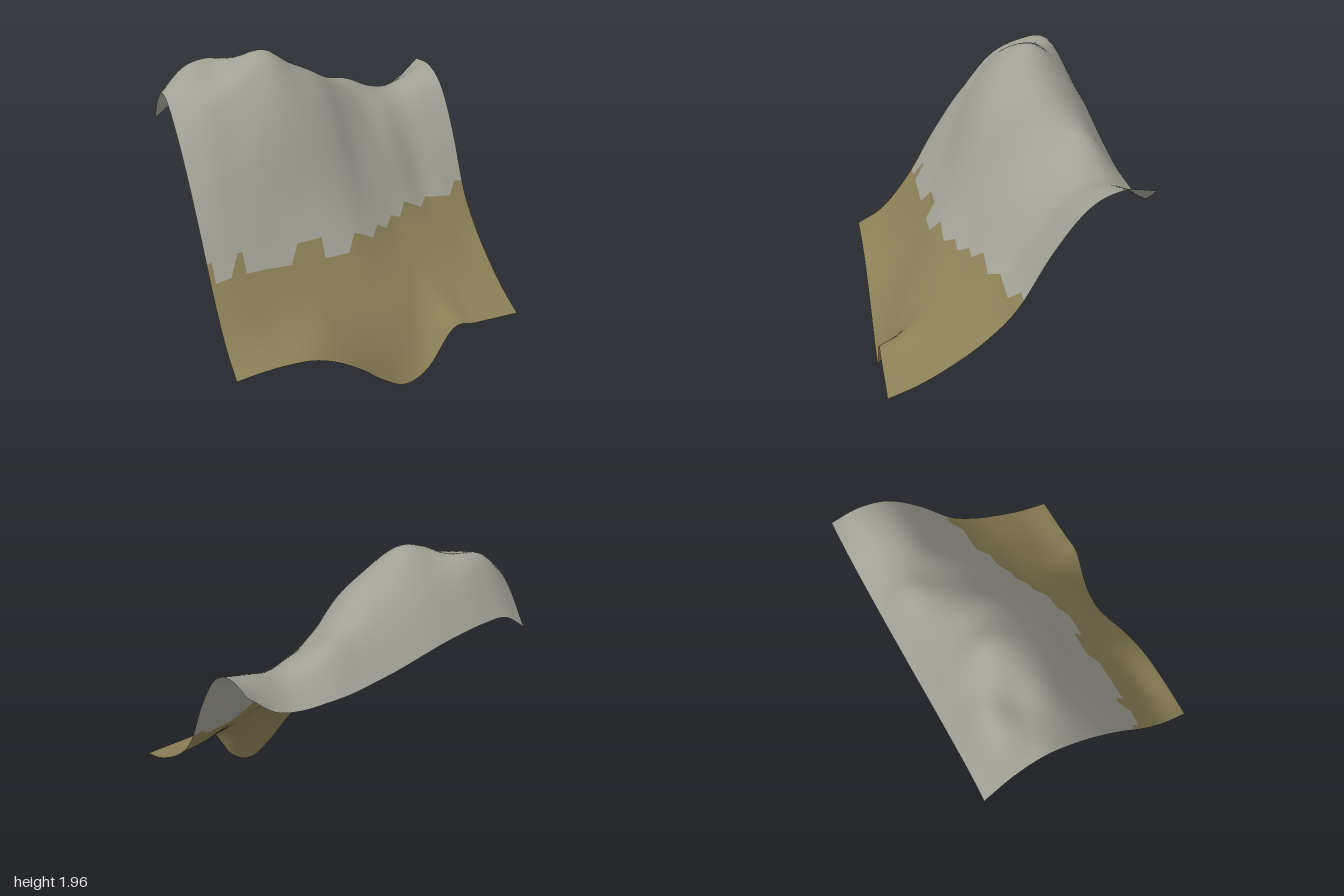
import * as THREE from 'three';

const WIDTH = 1.93, DEPTH = 1.544;
const COLS = 30, ROWS = 24; // terrain cells

// Heights on a coarse lattice: one line per depth, back to front, each from -x to +x
const HEIGHTS = [
  [1.45, 1.555, 1.56, 1.54, 1.51, 1.47, 1.43, 1.40, 1.375, 1.37, 1.375, 1.42, 1.555],
  [1.69, 1.85, 1.89, 1.84, 1.80, 1.73, 1.67, 1.62, 1.59, 1.51, 1.475, 1.52, 1.575],
  [1.765, 1.85, 1.87, 1.94, 1.97, 1.86, 1.77, 1.65, 1.54, 1.48, 1.44, 1.46, 1.48],
  [1.64, 1.75, 1.81, 1.87, 1.88, 1.80, 1.70, 1.53, 1.40, 1.32, 1.22, 1.21, 1.22],
  [1.42, 1.50, 1.53, 1.60, 1.62, 1.57, 1.46, 1.28, 1.17, 1.07, 0.95, 0.92, 0.875],
  [1.13, 1.17, 1.17, 1.15, 1.15, 1.15, 1.10, 0.98, 0.87, 0.81, 0.75, 0.70, 0.67],
  [0.80, 0.82, 0.82, 0.81, 0.80, 0.79, 0.78, 0.72, 0.66, 0.62, 0.585, 0.55, 0.53],
  [0.56, 0.56, 0.55, 0.56, 0.55, 0.50, 0.46, 0.44, 0.42, 0.47, 0.44, 0.43, 0.42],
  [0.44, 0.455, 0.455, 0.435, 0.365, 0.25, 0.105, 0.015, 0.10, 0.37, 0.365, 0.355, 0.345],
];

// First grassy row, counted from the middle row, for each column of terrain points
const GRASS_START = [5, 6, 6, 5, 6, 6, 6, 6, 6, 5, 5, 5, 6, 6, 6, 5,
  5, 5, 4, 4, 3, 3, 2, 2, 2, 1, 1, 1, 1, 0, 0];

// Smooth curve through evenly spaced values, t from 0 to 1
function spline(values, t) {
  const last = values.length - 1;
  const i = Math.min(Math.floor(t * last), last - 1);
  const f = t * last - i;
  const b = values[i], c = values[i + 1];
  const a = i > 0 ? values[i - 1] : 2 * b - c;
  const d = i + 2 <= last ? values[i + 2] : 2 * c - b;
  return b + 0.5 * f * (c - a + f * (2 * a - 5 * b + 4 * c - d + f * (3 * (b - c) + d - a)));
}

const heightAt = (u, v) => Math.max(0, spline(HEIGHTS.map((row) => spline(row, u)), v));

export function createModel() {
  const group = new THREE.Group();
  group.name = 'hillside';

  const rock = new THREE.MeshStandardMaterial({ color: 0xa0a095, side: THREE.DoubleSide });
  rock.name = 'grey rock';
  const grass = new THREE.MeshStandardMaterial({ color: 0x8a7f56, side: THREE.DoubleSide });
  grass.name = 'dry grass';

  // Terrain points, two per cell so cells can be cut at their edge midpoints
  const nx = COLS * 2, nz = ROWS * 2;
  const positions = [];
  for (let j = 0; j <= nz; j++) {
    for (let i = 0; i <= nx; i++) {
      const u = i / nx, v = j / nz;
      positions.push((u - 0.5) * WIDTH, heightAt(u, v), (v - 0.5) * DEPTH);
    }
  }

  const id = ([i, j]) => j * (nx + 1) + i;
  const middle = (p, q) => [(p[0] + q[0]) / 2, (p[1] + q[1]) / 2];
  const isGrass = ([i, j]) => j / 2 - ROWS / 2 >= GRASS_START[i / 2];
  const rockFaces = [], grassFaces = [];
  const add = (grassy, ...corners) => (grassy ? grassFaces : rockFaces).push(...corners.map(id));

  // Each triangle becomes four: corners follow their point, the centre the majority
  function addTriangle(a, b, c) {
    const ab = middle(a, b), bc = middle(b, c), ca = middle(c, a);
    const [ga, gb, gc] = [a, b, c].map(isGrass);
    add(ga, a, ab, ca);
    add(gb, b, bc, ab);
    add(gc, c, ca, bc);
    add(ga + gb + gc >= 2, ab, bc, ca);
  }
  for (let j = 0; j < nz; j += 2) {
    for (let i = 0; i < nx; i += 2) {
      addTriangle([i, j], [i, j + 2], [i + 2, j]);
      addTriangle([i, j + 2], [i + 2, j + 2], [i + 2, j]);
    }
  }

  // Normals are worked out on the whole sheet so the seam stays smooth
  const sheet = new THREE.BufferGeometry();
  sheet.setAttribute('position', new THREE.Float32BufferAttribute(positions, 3));
  sheet.setIndex([...rockFaces, ...grassFaces]);
  sheet.computeVertexNormals();

  function addPart(name, faces, material) {
    const geometry = sheet.clone();
    geometry.setIndex(faces);
    const mesh = new THREE.Mesh(geometry, material);
    mesh.name = name;
    group.add(mesh);
  }
  addPart('rockyCrest', rockFaces, rock);
  addPart('grassySlope', grassFaces, grass);

  return group;
}
